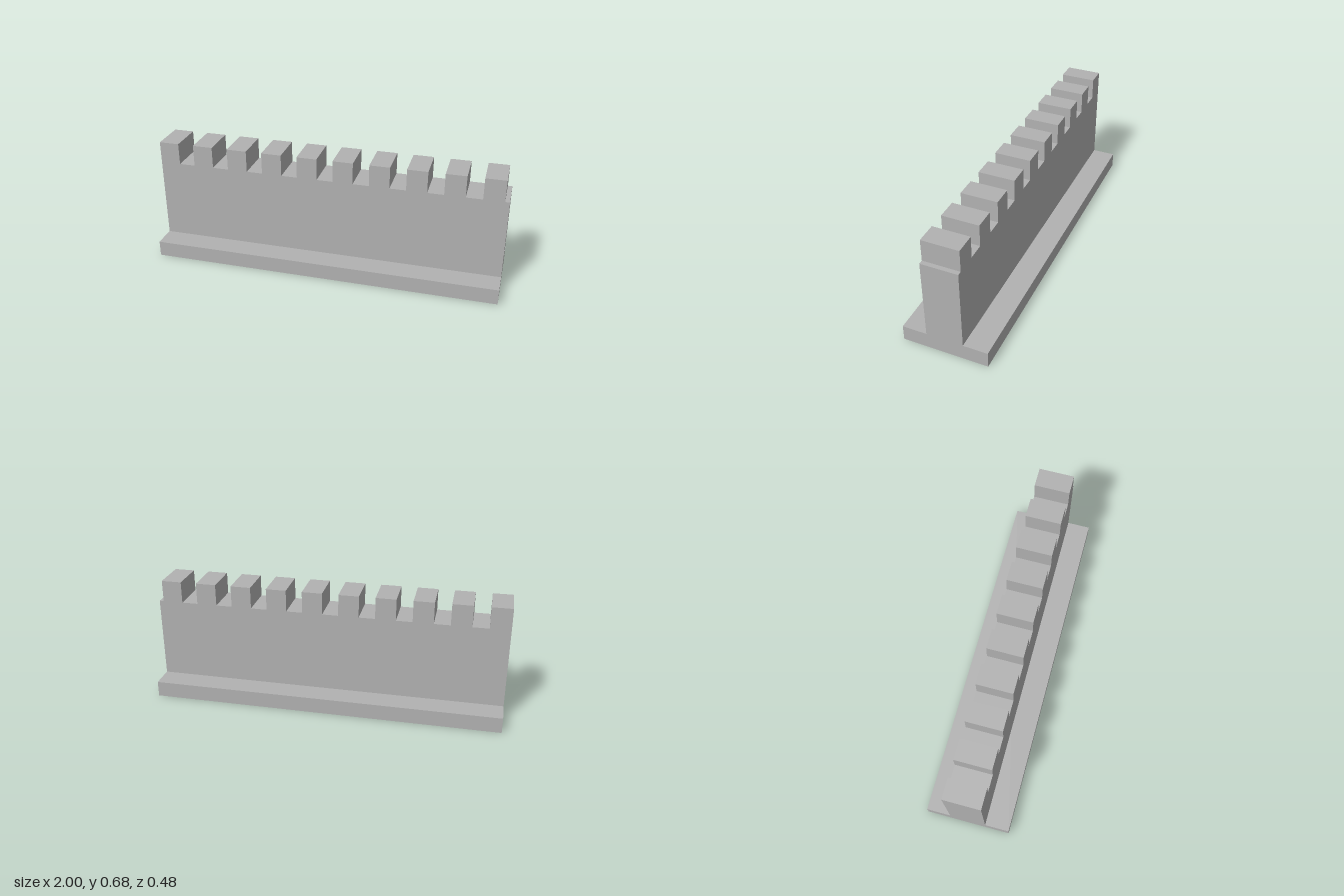
import * as THREE from 'three';

export function createModel() {
  const model = new THREE.Group();
  model.name = 'battlementWall';
  const stone = new THREE.MeshStandardMaterial({ color: 0xb2b2b2 });
  stone.name = 'grey stone';

  const baseTop = 0.09, wallTop = 0.553, merlonTop = 0.677;
  const wallDepth = 0.206, baseDepth = 0.48;
  const merlons = 10, merlonWidth = 0.115, pitch = 0.2067;

  // wide plinth
  const base = new THREE.Mesh(new THREE.BoxGeometry(2, baseTop, baseDepth), stone);
  base.name = 'base';
  base.position.y = baseTop / 2;
  model.add(base);

  // wall outline with merlons, starting flush at the -x end
  const outline = new THREE.Shape();
  outline.moveTo(-1, baseTop);
  outline.lineTo(1, baseTop);
  outline.lineTo(1, wallTop);
  for (let i = merlons - 1; i >= 0; i--) {
    const left = -1 + i * pitch, right = left + merlonWidth;
    outline.lineTo(right, wallTop);
    outline.lineTo(right, merlonTop);
    outline.lineTo(left, merlonTop);
    if (i > 0) outline.lineTo(left, wallTop);
  }
  outline.closePath();

  const wallGeometry = new THREE.ExtrudeGeometry(outline, { depth: wallDepth, bevelEnabled: false });
  wallGeometry.translate(0, 0, -wallDepth / 2);
  const wall = new THREE.Mesh(wallGeometry, stone);
  wall.name = 'crenellatedWall';
  model.add(wall);

  return model;
}
